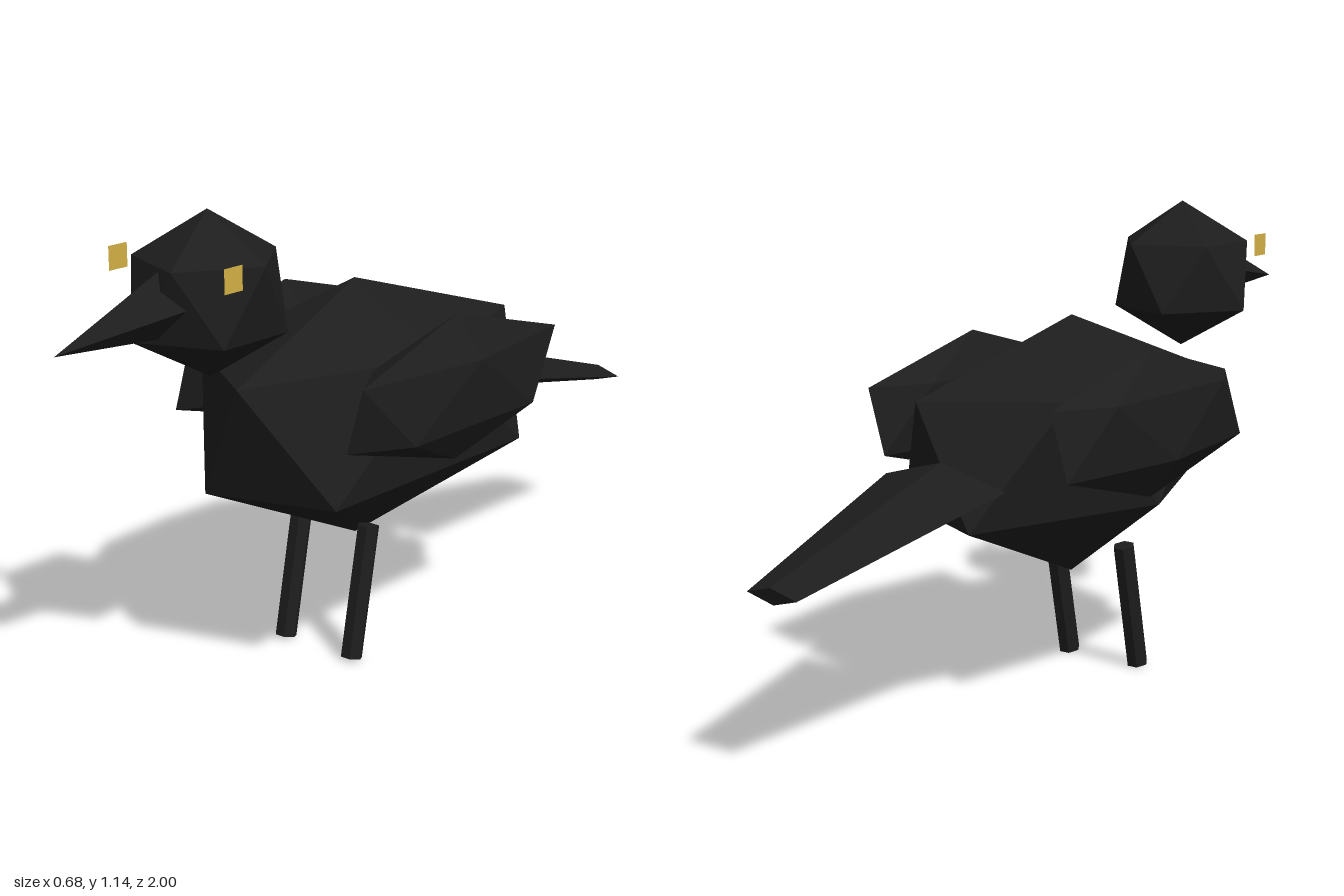
import * as THREE from 'three';

const plumage = new THREE.MeshStandardMaterial({ color: 0x1d1d1d });
plumage.name = 'blackPlumage';
const gold = new THREE.MeshStandardMaterial({ color: 0xd4b046, side: THREE.DoubleSide });
gold.name = 'goldEye';

// Faceted copy of a geometry
function facet(geometry) {
  const g = geometry.index ? geometry.toNonIndexed() : geometry;
  g.computeVertexNormals();
  return g;
}

// Twenty-sided solid standing on a point; the ring arrays push single corners in or out
function gem(name, center, radii, { upper = [1, 1, 1, 1, 1], lower = [1, 1, 1, 1, 1], shift = 0 } = {}) {
  const pts = [0, 1, 0];
  const ring = (scales, y, start) => scales.forEach((s, i) => {
    const a = start + i * Math.PI * 0.4;
    pts.push(Math.cos(a) * 0.894 * s, y + shift, Math.sin(a) * 0.894 * s);
  });
  ring(upper, 0.447, 0);
  ring(lower, -0.447, Math.PI / 5);
  pts.push(0, -1, 0);
  const faces = [];
  for (let i = 0; i < 5; i++) {
    const j = (i + 1) % 5;
    const u = 1 + i, un = 1 + j, l = 6 + i, ln = 6 + j;
    faces.push(0, un, u, u, un, l, l, un, ln, 11, l, ln);
  }
  const g = new THREE.BufferGeometry();
  g.setAttribute('position', new THREE.Float32BufferAttribute(pts, 3));
  g.setIndex(faces);
  g.scale(...radii);
  const mesh = new THREE.Mesh(facet(g), plumage);
  mesh.name = name;
  mesh.position.set(...center);
  return mesh;
}

// Tapered rod between two points, with an optional flattening
function rod(name, from, to, r0, r1, sides, flat = 1, turn = 0) {
  const a = new THREE.Vector3(...from), b = new THREE.Vector3(...to);
  const g = new THREE.CylinderGeometry(r1, r0, a.distanceTo(b), sides);
  g.rotateY(turn);
  g.scale(1, 1, flat);
  const mesh = new THREE.Mesh(facet(g), plumage);
  mesh.name = name;
  mesh.position.copy(a).add(b).multiplyScalar(0.5);
  mesh.quaternion.setFromUnitVectors(new THREE.Vector3(0, 1, 0), b.sub(a).normalize());
  return mesh;
}

export function createModel() {
  const bird = new THREE.Group();
  bird.name = 'bird';

  bird.add(
    gem('body', [0, 0.58, 0.06], [0.288, 0.318, 0.58], { lower: [1.14, 0.9, 1, 1.03, 1.14], shift: 0.08 }),
    gem('head', [0, 0.952, 0.55], [0.188, 0.187, 0.188], {
      upper: [1, 1.06, 1, 1, 1],
      lower: [1.02, 1.12, 1.12, 1.14, 1.02],
    }),
    rod('beak', [0, 0.953, 0.69], [0, 0.905, 1], 0.075, 0, 4),
    rod('tail', [0, 0.57, -0.43], [0, 0.432, -0.993], 0.173, 0.07, 4, 0.29),
  );

  for (const [side, s] of [['left', 1], ['right', -1]]) {
    bird.add(gem(side + 'Wing', [0.265 * s, 0.668, 0.01], [0.084, 0.176, 0.43]));
    bird.add(rod(side + 'Leg', [0.105 * s, 0.006, 0.2], [0.105 * s, 0.324, 0.135], 0.027, 0.027, 6, 1, Math.PI / 6));

    // Square eye plate beside the head
    const eye = new THREE.Mesh(new THREE.PlaneGeometry(0.055, 0.055), gold);
    eye.name = side + 'Eye';
    eye.position.set(0.172 * s, 1.027, 0.653);
    eye.rotation.y = s * Math.PI / 2;
    bird.add(eye);
  }
  return bird;
}
